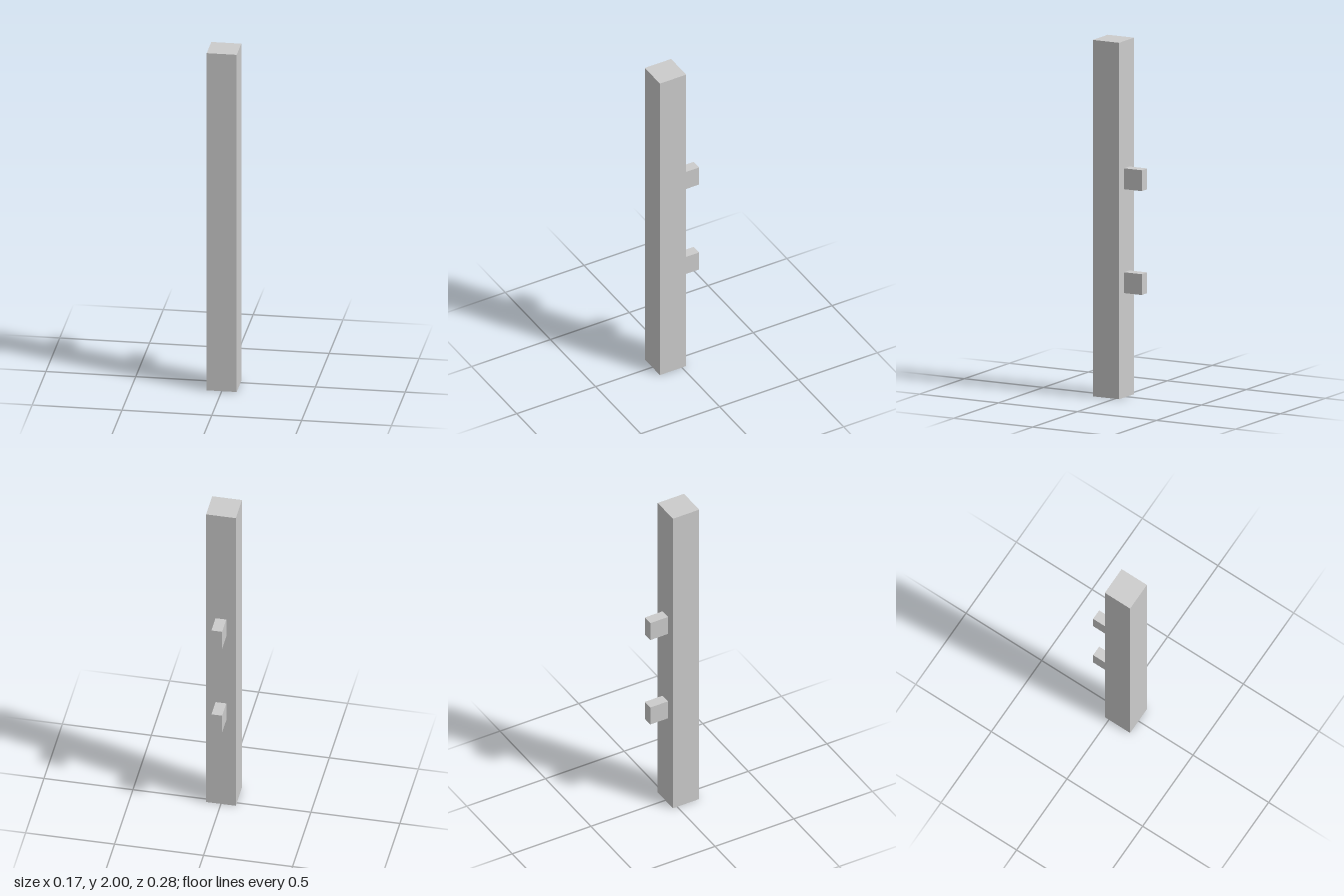
import * as THREE from 'three';

const POST_WIDTH = 0.167;
const BACK = -0.027; // z of the post's rear face
const PEG = { width: 0.06, height: 0.117, depth: 0.113 };

export function createModel() {
  const group = new THREE.Group();
  group.name = 'postWithPegs';
  const material = new THREE.MeshStandardMaterial({ color: 0xcccccc, flatShading: true });

  const addBox = (name, w, h, d, y, z) => {
    const mesh = new THREE.Mesh(new THREE.BoxGeometry(w, h, d), material);
    mesh.name = name;
    mesh.position.set(0, y, z);
    group.add(mesh);
  };

  // Tall square post
  addBox('post', POST_WIDTH, 2, POST_WIDTH, 1, BACK + POST_WIDTH / 2);

  // Two mounting pegs on the rear face
  for (const [name, y] of [['lowerPeg', 0.645], ['upperPeg', 1.228]]) {
    addBox(name, PEG.width, PEG.height, PEG.depth, y, BACK - PEG.depth / 2);
  }

  return group;
}
